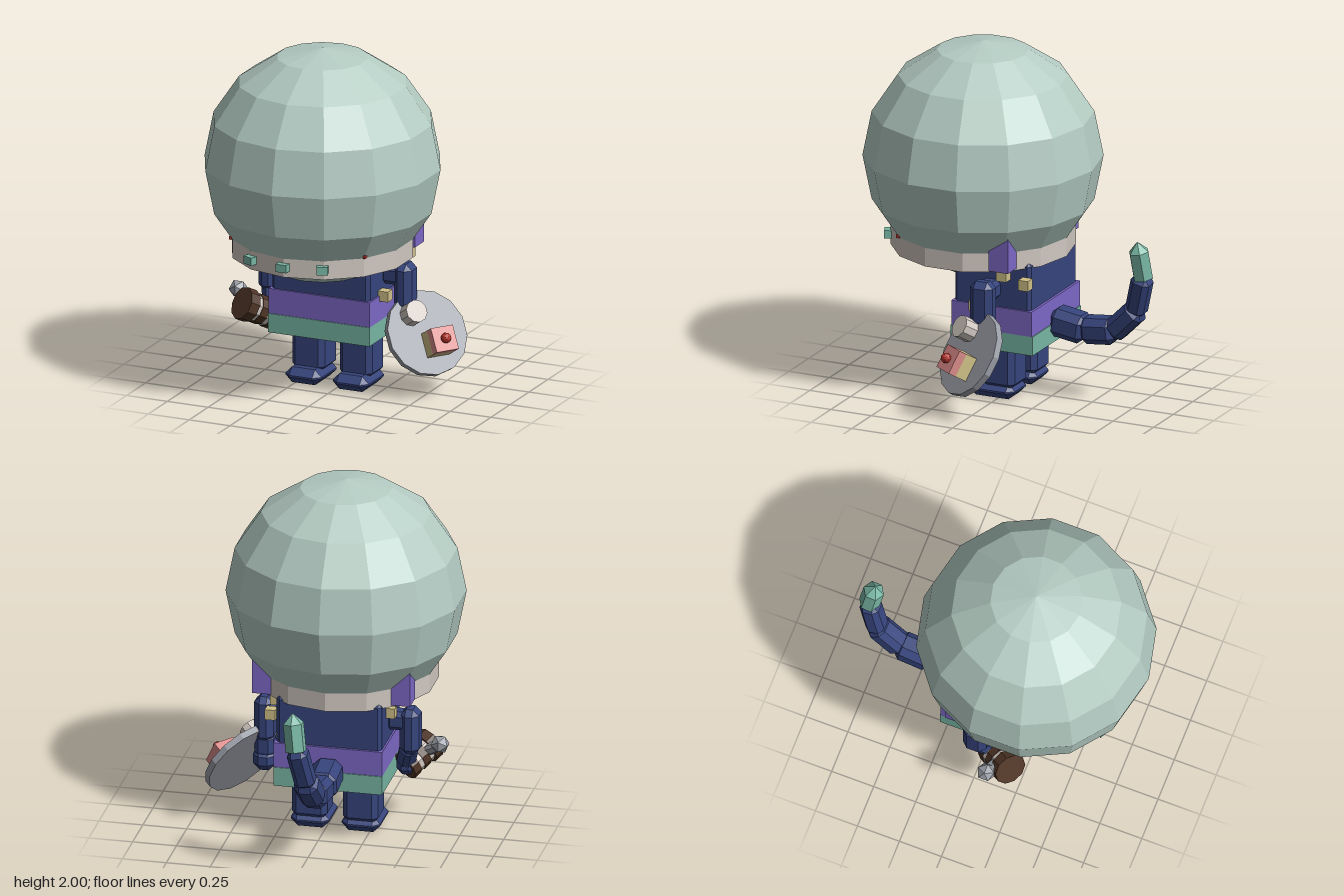
import * as THREE from 'three';
import { ConvexGeometry } from 'three/addons/geometries/ConvexGeometry.js';

const V = (x, y, z) => new THREE.Vector3(x, y, z);
const CX = -0.055; // mirror plane of the body
const UP = V(0, 1, 0);

export function createModel() {
  const model = new THREE.Group();
  model.name = 'helmetedFigure';

  const colours = {
    glass: 0xb4ccc3, navy: 0x36447c, purple: 0x7d68c6, teal: 0x78b6a3, bone: 0xd0c7c0,
    cream: 0xd0c088, steel: 0x999da5, pink: 0xd98b89, red: 0xb5332b, brown: 0x4f3526,
  };
  const mat = {};
  for (const [name, color] of Object.entries(colours)) {
    mat[name] = new THREE.MeshStandardMaterial({ color, flatShading: true });
    mat[name].name = name;
  }

  function add(name, geometry, material, x = 0, y = 0, z = 0, parent = model) {
    const mesh = new THREE.Mesh(geometry, mat[material]);
    mesh.name = name;
    mesh.position.set(x, y, z);
    parent.add(mesh);
    return mesh;
  }
  const box = (w, h, d) => new THREE.BoxGeometry(w, h, d);

  // box with every edge and corner cut off
  function chamferBox(w, h, d, b) {
    const points = [];
    for (const i of [-0.5, 0.5]) for (const j of [-0.5, 0.5]) for (const k of [-0.5, 0.5]) {
      const sx = Math.sign(i) * b, sy = Math.sign(j) * b, sz = Math.sign(k) * b;
      points.push(V(i * w, j * h - sy, k * d - sz), V(i * w - sx, j * h, k * d - sz), V(i * w - sx, j * h - sy, k * d));
    }
    return new ConvexGeometry(points);
  }
  // chamfered block stretched between two points
  function limb(name, a, b, thick, material) {
    const dir = b.clone().sub(a);
    const mid = a.clone().add(b).multiplyScalar(0.5);
    const mesh = add(name, chamferBox(thick, dir.length() + 0.04, thick, thick * 0.25), material, mid.x, mid.y, mid.z);
    mesh.quaternion.setFromUnitVectors(UP, dir.normalize());
    return mesh;
  }

  // helmet dome and collar, both with 14 sides and a corner facing front
  add('dome', new THREE.SphereGeometry(0.67, 14, 8).rotateY(Math.PI / 2), 'glass', CX, 1.33, 0.2);
  add('collar', new THREE.CylinderGeometry(0.515, 0.515, 0.11, 14), 'bone', CX, 0.865, 0.2);
  add('jaw', chamferBox(0.77, 0.2, 0.62, 0.03), 'navy', CX, 0.885, 0.18);

  // collar studs, side lights and rear fins
  for (const s of [-1, 0, 1]) {
    const stud = add('collarStud', box(0.065, 0.045, 0.05), 'teal', CX + s * 0.22, 0.87, s ? 0.675 : 0.725);
    stud.rotation.y = s * 0.42;
  }
  for (const s of [-1, 1]) {
    add('sideLight', box(0.015, 0.02, 0.02), 'red', CX + s * 0.41, 0.93, 0.525);
    add('rearFin', box(0.12, 0.26, 0.12), 'purple', CX + s * 0.39, 0.95, -0.11);
  }

  // torso with sash and belt
  add('torso', chamferBox(0.6, 0.52, 0.47, 0.02), 'navy', CX, 0.58, 0);
  add('sash', box(0.62, 0.145, 0.495), 'purple', CX, 0.4925, -0.002);
  add('belt', box(0.62, 0.11, 0.505), 'teal', CX, 0.365, -0.002);

  // legs, feet and arms
  for (const s of [-1, 1]) {
    add('leg', chamferBox(0.2, 0.3, 0.2, 0.03), 'navy', CX + s * 0.145, 0.21, 0);
    add('foot', chamferBox(0.22, 0.09, 0.28, 0.04), 'navy', CX + s * 0.145, 0.045, 0.04);
    add('shoulder', chamferBox(0.16, 0.11, 0.11, 0.025), 'navy', CX + s * 0.36, 0.67, 0);
    add('upperArm', chamferBox(0.11, 0.27, 0.14, 0.035), 'navy', CX + s * 0.415, 0.61, 0);
  }
  limb('rightForearm', V(-0.46, 0.5, 0.0), V(-0.43, 0.4, 0.06), 0.1, 'navy');
  add('rightHand', chamferBox(0.11, 0.11, 0.12, 0.035), 'navy', -0.43, 0.37, 0.08);
  limb('leftForearm', V(0.36, 0.5, 0), V(0.36, 0.4, 0), 0.11, 'navy');
  add('leftHand', chamferBox(0.13, 0.13, 0.13, 0.04), 'navy', 0.36, 0.365, 0);

  // small blocks fixed to the torso
  for (const [x, y, z] of [[0.275, 0.73, -0.22], [0.275, 0.765, -0.085], [-0.375, 0.745, -0.085], [0.275, 0.565, 0.085]])
    add('torsoBlock', box(0.06, 0.06, 0.06), 'cream', x, y, z);

  // tail curling up behind, with a coloured tip
  const path = [V(-0.06, 0.43, -0.24), V(-0.06, 0.4, -0.43), V(-0.055, 0.42, -0.61),
    V(-0.045, 0.56, -0.75), V(-0.01, 0.76, -0.805)];
  const widths = [0.165, 0.15, 0.135, 0.115];
  widths.forEach((w, i) => limb('tailSegment', path[i], path[i + 1], w, 'navy'));
  const tip = add('tailTip', new THREE.LatheGeometry([[0, 0], [0.06, 0.01], [0.06, 0.17], [0, 0.23]]
    .map(([r, y]) => new THREE.Vector2(r, y)), 6), 'teal', -0.005, 0.76, -0.815);
  tip.quaternion.setFromUnitVectors(UP, V(0.12, 1, 0.12).normalize());

  // round shield, built lying flat (facing +y) and then turned outwards
  const shield = new THREE.Group();
  shield.name = 'shield';
  const n = V(0.7, 0.5, 0.5).normalize();
  const right = V(1, 0, -1.4).normalize();
  right.addScaledVector(n, -right.dot(n)).normalize();
  const down = right.clone().cross(n);
  shield.quaternion.setFromRotationMatrix(new THREE.Matrix4().makeBasis(right, n, down));
  shield.position.set(0.49, 0.35, 0.01);
  model.add(shield);
  const place = (name, geometry, material, offset, height) => {
    add(name, geometry, material, offset.dot(right), height, offset.dot(down), shield);
  };
  add('shieldDisc', new THREE.CylinderGeometry(0.245, 0.245, 0.04, 14), 'steel', 0, 0, 0, shield);
  place('shieldKnob', new THREE.CylinderGeometry(0.065, 0.065, 0.1, 10), 'bone', V(-0.09, 0.1, 0.03), 0.055);
  const spot = V(0.05, -0.06, 0);
  place('emblemBase', box(0.14, 0.08, 0.14), 'cream', spot, 0.055);
  place('emblemTop', box(0.14, 0.05, 0.14), 'pink', spot, 0.12);
  place('emblemButton', new THREE.IcosahedronGeometry(0.03, 1), 'red', spot, 0.16);

  // banded hammer held in the right hand
  const hammer = new THREE.Group();
  hammer.name = 'hammer';
  hammer.position.set(-0.48, 0.405, 0.155);
  hammer.quaternion.setFromUnitVectors(UP, V(-0.1, 0.085, 0.14).normalize());
  model.add(hammer);
  for (const [y, h, r, m] of [[0.075, 0.06, 0.095, 'brown'], [0.03, 0.03, 0.08, 'bone'],
    [-0.01, 0.05, 0.085, 'brown'], [-0.05, 0.03, 0.08, 'bone'], [-0.09, 0.05, 0.085, 'brown']])
    add('hammerBand', new THREE.CylinderGeometry(r, r, h, 10), m, 0, y, 0, hammer);
  limb('hammerRod', V(-0.5, 0.42, 0.15), V(-0.6, 0.48, 0.115), 0.06, 'steel');
  add('hammerGem', new THREE.IcosahedronGeometry(0.055, 0), 'steel', -0.61, 0.49, 0.115);

  return model;
}
